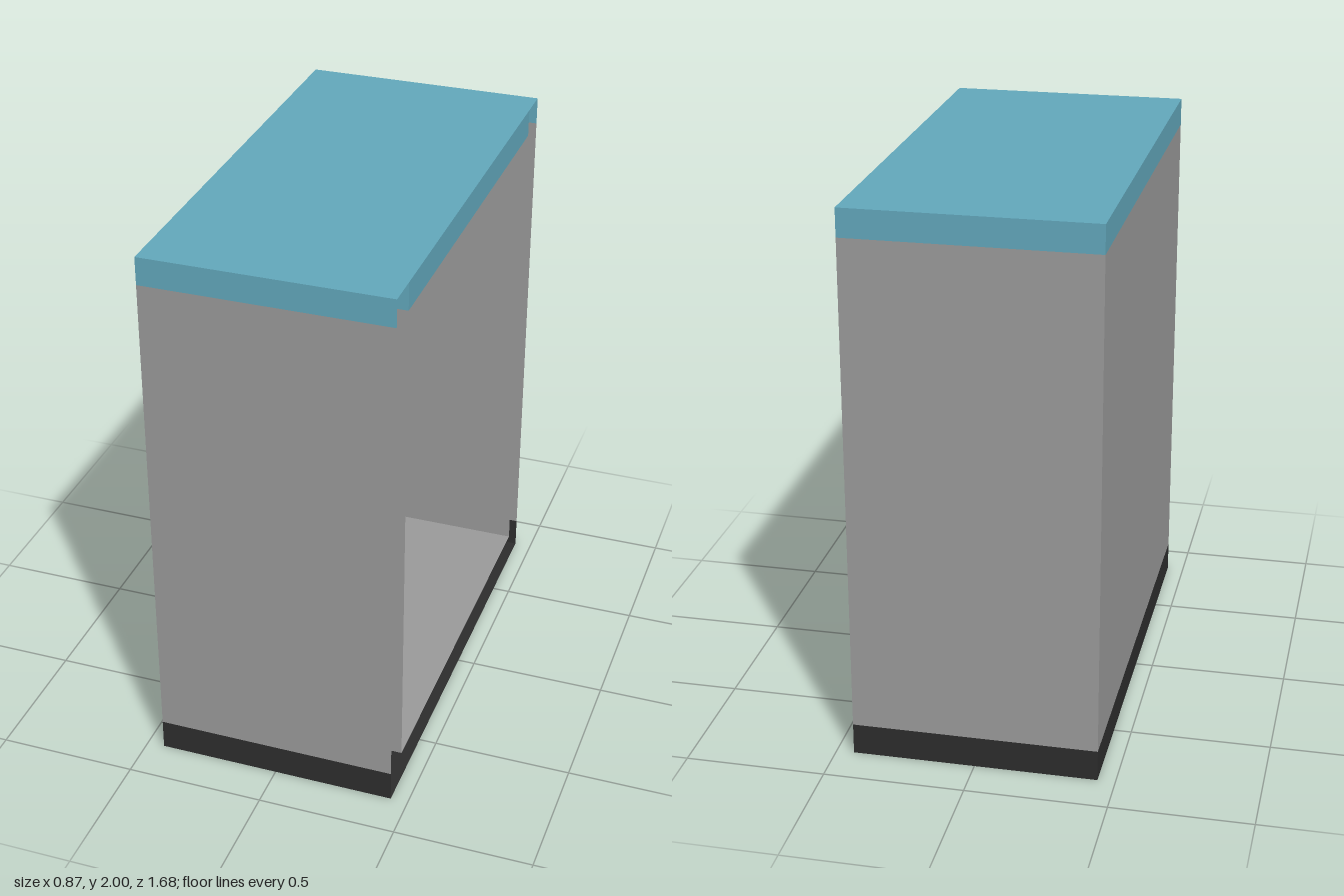
import * as THREE from 'three';

export function createModel() {
  const group = new THREE.Group();
  group.name = 'openCabinet';

  const material = (name, color) => {
    const m = new THREE.MeshStandardMaterial({ color, side: THREE.DoubleSide });
    m.name = name;
    return m;
  };
  const blue = material('blue trim', 0x62a7bb);
  const grey = material('grey panel', 0x9a9a9a);
  const black = material('black base', 0x2d2d2d);

  // outer shell half sizes, inner compartment limits and colour heights
  const X = 0.437, Z = 0.84, TOP = 2;
  const innerZ = 0.72, backX = -0.32;
  const baseY = 0.113, trimY = 1.9;

  // thin sheet; facing is the axis and sign of its normal
  function sheet(name, mat, facing, w, h, x, y, z) {
    const mesh = new THREE.Mesh(new THREE.PlaneGeometry(w, h), mat);
    const sign = facing[0] === '-' ? -1 : 1;
    if (facing[1] === 'x') mesh.rotation.y = sign * Math.PI / 2;
    if (facing[1] === 'y') mesh.rotation.x = -sign * Math.PI / 2;
    if (facing[1] === 'z' && sign < 0) mesh.rotation.y = Math.PI;
    mesh.position.set(x, y, z);
    mesh.name = name;
    group.add(mesh);
  }

  // upright wall split into coloured bands
  const bands = [['Base', black, 0, baseY], ['Panel', grey, baseY, trimY], ['Trim', blue, trimY, TOP]];
  function wall(name, facing, w, x, z, parts = bands) {
    for (const [label, mat, y0, y1] of parts)
      sheet(name + label, mat, facing, w, y1 - y0, x, (y0 + y1) / 2, z);
  }

  // outer shell, open on the +x side
  wall('frontWall', '+z', 2 * X, 0, Z);
  wall('backWall', '-z', 2 * X, 0, -Z);
  wall('rightWall', '-x', 2 * Z, -X, 0);
  sheet('roof', blue, '+y', 2 * X, 2 * Z, 0, TOP, 0);
  sheet('bottom', black, '-y', 2 * X, 2 * Z, 0, 0, 0);

  // inner compartment, with gaps left between it and the shell
  const depth = X - backX, midX = (X + backX) / 2;
  for (const s of [-1, 1])
    wall(s > 0 ? 'innerFrontWall' : 'innerBackWall', s > 0 ? '-z' : '+z', depth, midX, s * innerZ, bands.slice(1));
  wall('innerRightWall', '+x', 2 * innerZ, backX, 0, [bands[1]]);
  sheet('floor', grey, '+y', depth, 2 * innerZ, midX, baseY, 0);
  sheet('ceiling', grey, '-y', depth, 2 * innerZ, midX, trimY, 0);

  // strip above the opening
  wall('lintel', '+x', 2 * innerZ, X, 0, [bands[2]]);

  return group;
}
